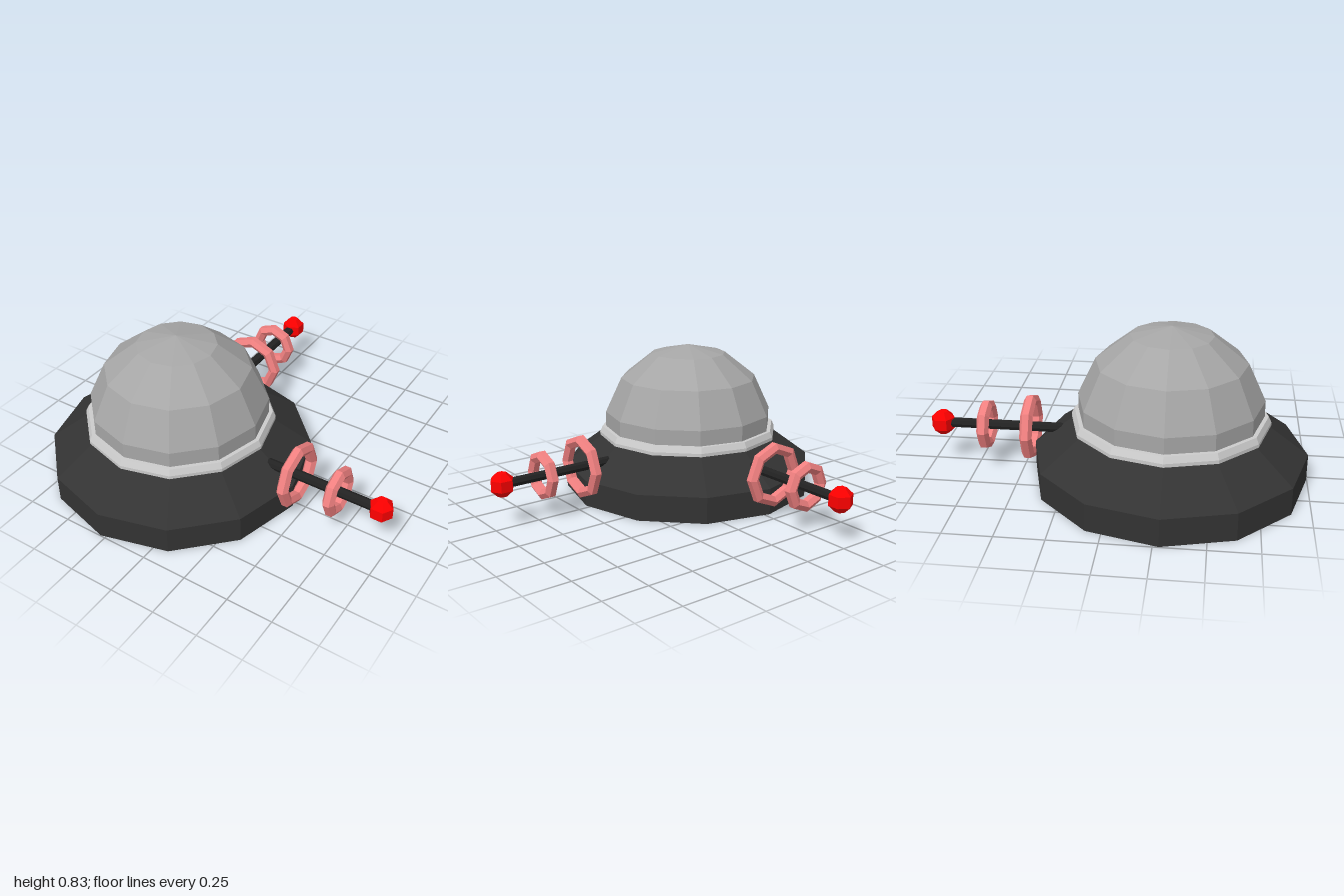
import * as THREE from 'three';

const mat = (color) => new THREE.MeshStandardMaterial({ color, flatShading: true });
const dark = mat(0x333333);
const black = mat(0x222222);
const grey = mat(0xa6a6a6);
const silver = mat(0xc0c0c0);
const coral = mat(0xf08080);
const red = mat(0xff0000);

// Faceted solid of revolution; profile runs from bottom to top
function lathe(name, profile, sides, material) {
  const points = profile.map(([r, y]) => new THREE.Vector2(r, y));
  const mesh = new THREE.Mesh(new THREE.LatheGeometry(points, sides), material);
  mesh.name = name;
  return mesh;
}

// Octagonal ring with a six-sided section, its axis along x
function coil(name, x, radius) {
  const tube = 0.033;
  const profile = [];
  for (let i = 0; i <= 6; i++) {
    const a = (i / 6) * Math.PI * 2 - Math.PI / 6;
    profile.push([radius + tube * Math.cos(a), tube * Math.sin(a)]);
  }
  const ring = lathe(name, profile, 8, coral);
  ring.rotation.z = -Math.PI / 2;
  ring.position.x = x;
  return ring;
}

// Rod pointing along +x with two coils and a ball tip
function createAntenna(name) {
  const antenna = new THREE.Group();
  antenna.name = name;

  const rod = new THREE.Mesh(new THREE.CylinderGeometry(0.027, 0.027, 0.75, 8), black);
  rod.name = 'rod';
  rod.rotation.z = -Math.PI / 2;
  rod.position.x = 0.825;

  const ball = lathe('tipBall', [
    [0, -0.063], [0.027, -0.063], [0.063, -0.029], [0.063, 0.029], [0.027, 0.063], [0, 0.063],
  ], 6, red);
  ball.rotation.y = Math.PI / 2;
  ball.position.x = 1.217;

  antenna.add(rod, coil('largeCoil', 0.738, 0.148), coil('smallCoil', 0.977, 0.105), ball);
  antenna.position.y = 0.232;
  return antenna;
}

export function createModel() {
  const model = new THREE.Group();
  model.name = 'domedDevice';

  // Body: base with sloped shoulder, collar and dome
  const body = new THREE.Group();
  body.name = 'body';
  body.add(
    lathe('base', [[0, 0], [0.717, 0], [0.717, 0.145], [0.5, 0.307], [0, 0.307]], 12, dark),
    lathe('collar', [[0.49, 0.305], [0.518, 0.305], [0.518, 0.323], [0.503, 0.355], [0.47, 0.355]], 12, silver),
    lathe('dome', [[0.482, 0.33], [0.482, 0.44], [0.39, 0.638], [0.213, 0.778], [0, 0.826]], 12, grey),
  );

  // One antenna to the left, one to the back
  const side = createAntenna('leftAntenna');
  const back = createAntenna('backAntenna');
  back.rotation.y = Math.PI / 2;

  model.add(body, side, back);
  for (const part of model.children) {
    part.position.x = -0.28;
    part.position.z = 0.28;
  }
  return model;
}
